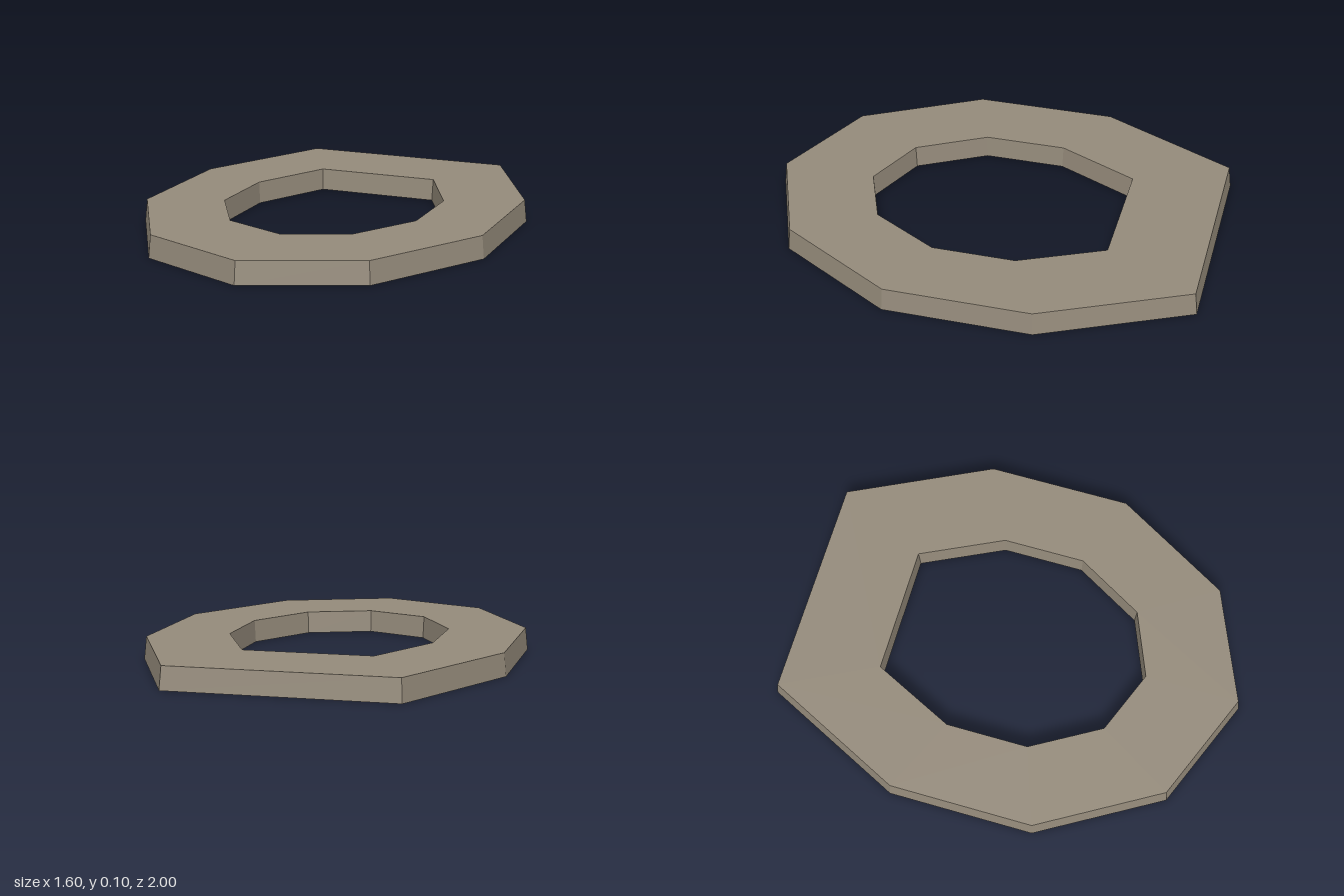
import * as THREE from 'three';

// Right half of each outline as [x, z], from the front tip to the back edge
const OUTER = [[0, 1], [0.495, 0.795], [0.8, 0.27], [0.8, -0.375], [0.495, -1]];
const INNER = [[0, 0.56], [0.28, 0.447], [0.452, 0.15], [0.452, -0.213], [0.28, -0.57]];
const HEIGHT = 0.1;

// Mirror a half outline into a closed ring at height y, scaled about the centre
function ring(half, y, scale) {
  const mirrored = half.slice(1).reverse().map(([x, z]) => [-x, z]);
  return [...half, ...mirrored].map(([x, z]) => [x * scale, y, z * scale]);
}

// Join consecutive rings with quads, closing the section back on itself
function loftLoop(rings) {
  const positions = [];
  rings.forEach((a, r) => {
    const b = rings[(r + 1) % rings.length];
    a.forEach((p, i) => {
      const j = (i + 1) % a.length;
      positions.push(...p, ...a[j], ...b[j], ...p, ...b[j], ...b[i]);
    });
  });
  const geometry = new THREE.BufferGeometry();
  geometry.setAttribute('position', new THREE.Float32BufferAttribute(positions, 3));
  geometry.computeVertexNormals();
  return geometry;
}

export function createModel() {
  const group = new THREE.Group();
  group.name = 'stoneRing';

  const stone = new THREE.MeshStandardMaterial({ color: 0x958b7b });
  stone.name = 'warm grey stone';

  // Flat angular slab with slightly sloping outer and inner walls
  const slab = new THREE.Mesh(loftLoop([
    ring(OUTER, 0, 1),
    ring(OUTER, HEIGHT, 0.988),
    ring(INNER, HEIGHT, 1.012),
    ring(INNER, 0, 1),
  ]), stone);
  slab.name = 'ringSlab';
  group.add(slab);

  return group;
}
